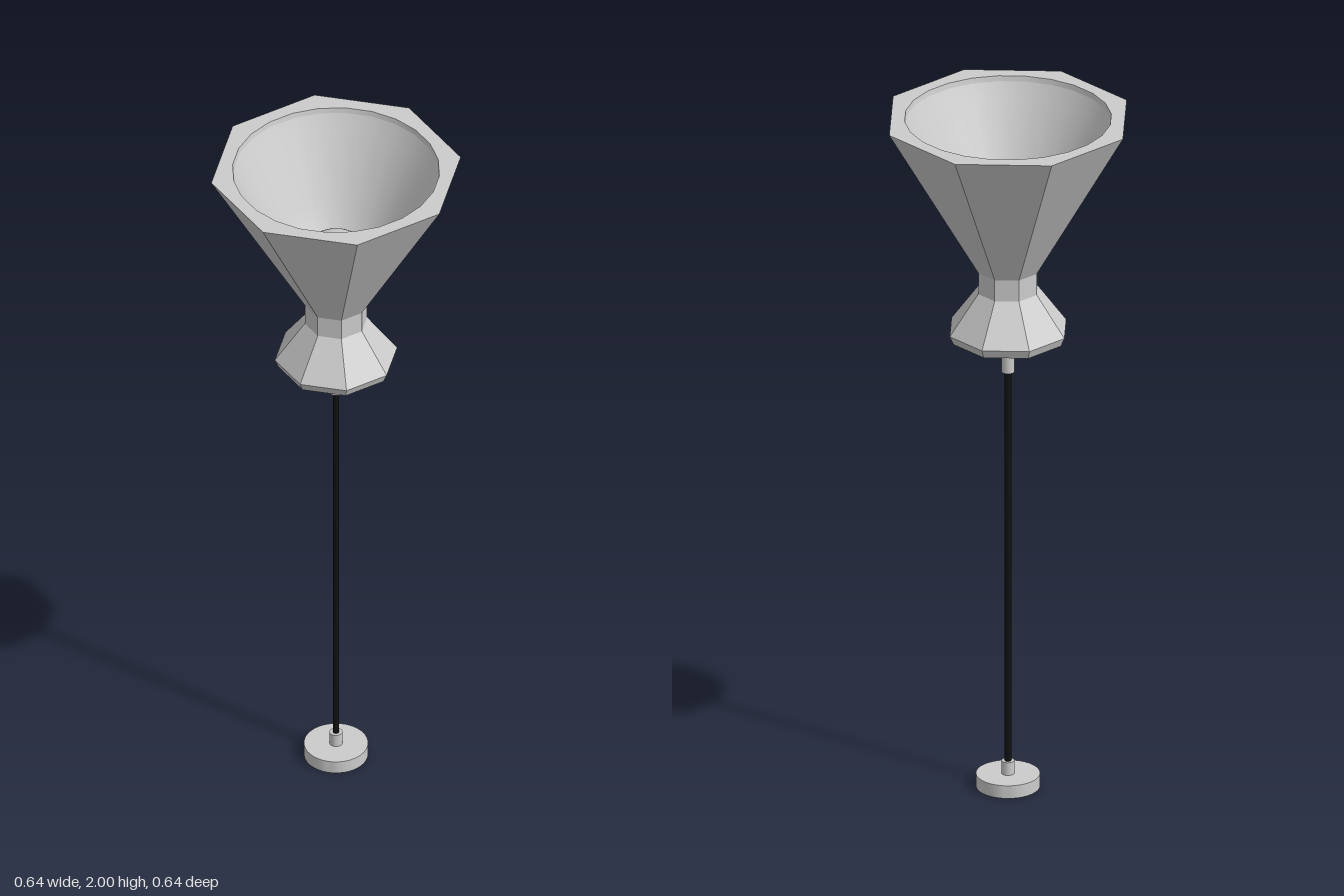
import * as THREE from 'three';
import { toCreasedNormals } from 'three/addons/utils/BufferGeometryUtils.js';

const grey = new THREE.MeshStandardMaterial({ color: 0xcccccc, side: THREE.DoubleSide });
const faceted = new THREE.MeshStandardMaterial({ color: 0xcccccc, flatShading: true });
const black = new THREE.MeshStandardMaterial({ color: 0x111111 });

// Turned profile with a flat side facing each axis; profiles run bottom to top for outer surfaces
function turned(profile, sides) {
  const points = profile.map(([r, y]) => new THREE.Vector2(r, y));
  return new THREE.LatheGeometry(points, sides).rotateY(Math.PI / sides);
}

// Corners of a regular polygon with the same orientation as turned()
function polygon(radius, sides) {
  return Array.from({ length: sides }, (_, i) => {
    const a = ((i + 0.5) / sides) * Math.PI * 2;
    return new THREE.Vector2(Math.cos(a) * radius, Math.sin(a) * radius);
  });
}

export function createModel() {
  const lamp = new THREE.Group();
  lamp.name = 'uplightPendant';

  const add = (name, geometry, material = grey) => {
    const mesh = new THREE.Mesh(geometry, material);
    mesh.name = name;
    lamp.add(mesh);
    return mesh;
  };
  const rod = (name, radius, y0, y1, material = grey, sides = 16) =>
    add(name, new THREE.CylinderGeometry(radius, radius, y1 - y0, sides).translate(0, (y0 + y1) / 2, 0), material);

  // Octagonal shell: radii given to the flats, scaled out to the corners
  const corner = 1 / Math.cos(Math.PI / 8);
  const octagon = (name, profile) =>
    add(name, turned(profile.map(([r, y]) => [r * corner, y]), 8), faceted);
  octagon('lowerFlare', [[0, 1.345], [0.147, 1.345], [0.157, 1.37], [0.08, 1.485]]);
  octagon('neck', [[0.08, 1.485], [0.08, 1.548]]);
  octagon('shade', [[0.08, 1.548], [0.32, 2]]);

  // Flat rim between the octagonal edge and the round opening
  const rimShape = new THREE.Shape(polygon(0.32 * corner, 8));
  rimShape.holes.push(new THREE.Path(polygon(0.284, 24)));
  add('rim', new THREE.ShapeGeometry(rimShape).rotateX(-Math.PI / 2).translate(0, 2, 0));

  // Round reflector with a short upright lip
  add('reflectorLip', turned([[0.284, 2], [0.281, 1.985]], 24));
  add('reflector', turned([[0.281, 1.985], [0.262, 1.945], [0.17, 1.765], [0.065, 1.56], [0, 1.56]], 24));

  // Bulb and its socket
  add('bulb', new THREE.SphereGeometry(0.098, 16, 12).translate(0, 1.68, 0));
  rod('socket', 0.04, 1.56, 1.61);

  // Fitting under the shade and the hanging cord
  rod('flange', 0.071, 1.334, 1.346, grey, 24);
  rod('stem', 0.018, 1.24, 1.335);
  rod('cord', 0.009, 0.07, 1.245, black, 12);

  // Hollow mounting cup with cord grip
  const cup = turned([[0, 0.03], [0.08, 0.03], [0.084, 0], [0.088, 0], [0.088, 0.038], [0, 0.038]], 32);
  add('mountingCup', toCreasedNormals(cup, 0.6));
  rod('cordGrip', 0.018, 0.035, 0.076);

  return lamp;
}
